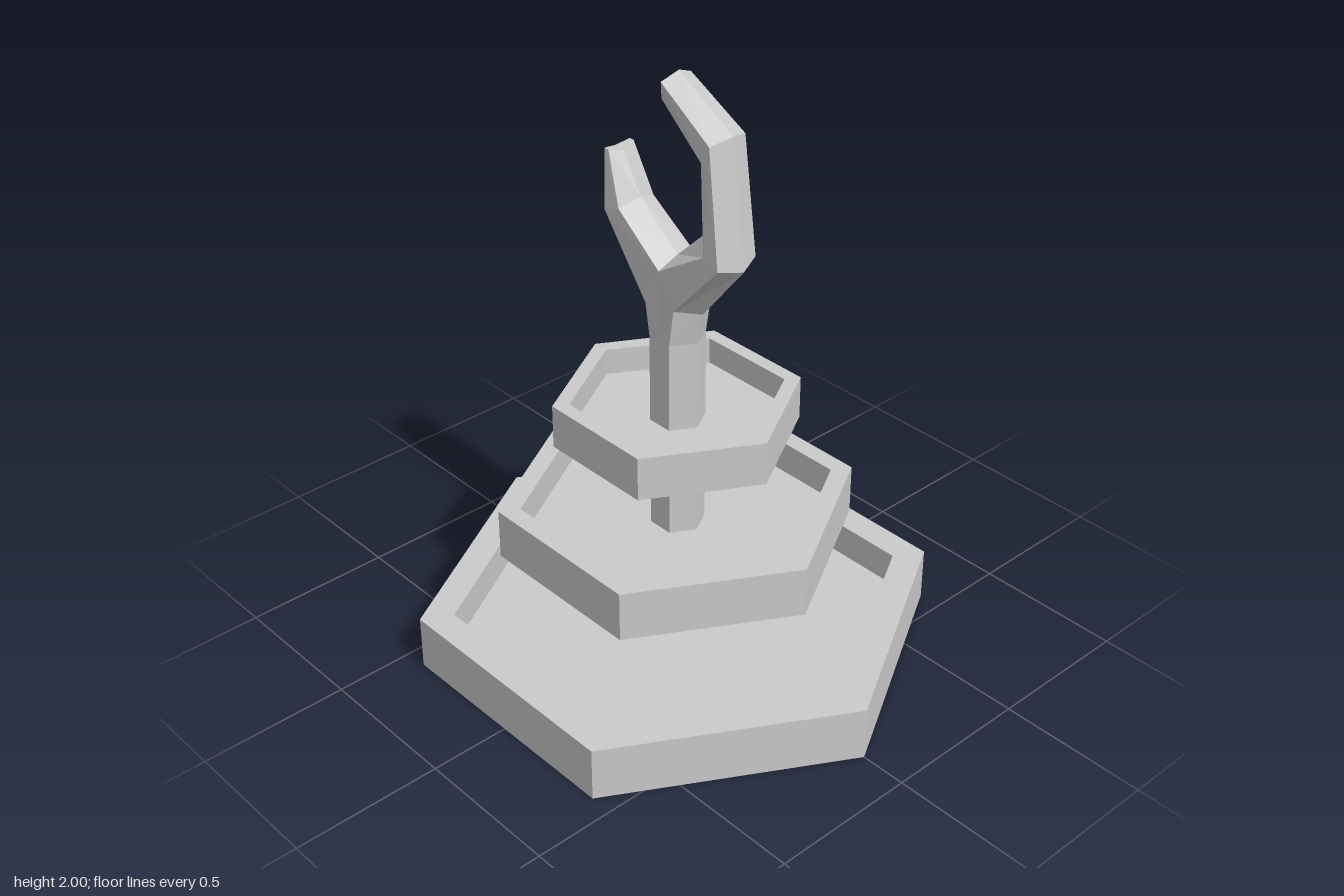
import * as THREE from 'three';

const material = new THREE.MeshStandardMaterial({ color: 0xcccccc, flatShading: true });

function addPart(group, name, geometry) {
  const mesh = new THREE.Mesh(geometry, material);
  mesh.name = name;
  group.add(mesh);
  return mesh;
}

// Hexagonal tray with a raised rim, corners on the x axis
function trayGeometry({ outer, inner, bottom, top, floor, dip = 0 }) {
  const profile = [
    [0, bottom - dip], [outer, bottom], [outer, top],
    [inner, top], [inner, floor], [0, floor],
  ].map(([r, y]) => new THREE.Vector2(r, y));
  return new THREE.LatheGeometry(profile, 6, Math.PI / 6);
}

// Six-sided arm lofted through sections: outer ridge, outer front edge,
// inner front edge, inner ridge (all x, y) and half depth; the back mirrors the front
function armGeometry(sections, side) {
  const rings = sections.map(([o, fo, fi, n, z]) => [
    [o, 0], [fo, z], [fi, z], [n, 0], [fi, -z], [fo, -z],
  ].map(([p, d]) => [p[0] * side, p[1], d]));
  const out = [];
  const tri = (a, b, c) => out.push(...a, ...(side > 0 ? [...b, ...c] : [...c, ...b]));
  for (let s = 0; s < rings.length - 1; s++) {
    for (let i = 0; i < 6; i++) {
      if (s === 0 && (i === 2 || i === 3)) continue; // the two arms join here
      const j = (i + 1) % 6, a = rings[s], b = rings[s + 1];
      tri(a[i], b[i], a[j]);
      tri(a[j], b[i], b[j]);
    }
  }
  const end = rings[rings.length - 1];
  for (let i = 1; i < 5; i++) tri(end[0], end[i + 1], end[i]);
  const geometry = new THREE.BufferGeometry();
  geometry.setAttribute('position', new THREE.Float32BufferAttribute(out, 3));
  geometry.computeVertexNormals();
  return geometry;
}

export function createModel() {
  const group = new THREE.Group();
  group.name = 'tieredTrayStand';

  // Trays
  addPart(group, 'bottomTray', trayGeometry({ outer: 0.845, inner: 0.735, bottom: 0, top: 0.185, floor: 0.07 }));
  addPart(group, 'middleTray', trayGeometry({ outer: 0.575, inner: 0.505, bottom: 0.395, top: 0.565, floor: 0.455 }));
  addPart(group, 'topTray', trayGeometry({ outer: 0.393, inner: 0.34, bottom: 0.783, top: 0.93, floor: 0.84, dip: 0.018 }));

  // Stem
  const stem = new THREE.CylinderGeometry(0.088, 0.088, 1.08, 6, 1, true, Math.PI / 6);
  addPart(group, 'stem', stem.translate(0, 0.6, 0));

  // Forked hook: both arms grow from the stem and share the crotch
  const root = [[0.088, 1.14], [0.044, 1.14], [0, 1.14], [0, 1.14], 0.076];
  addPart(group, 'longHookArm', armGeometry([
    root,
    [[0.11, 1.25], [0.065, 1.27], [0, 1.38], [0, 1.41], 0.077],
    [[0.28, 1.46], [0.25, 1.475], [0.19, 1.5], [0.135, 1.54], 0.076],
    [[0.23, 1.87], [0.205, 1.85], [0.172, 1.79], [0.12, 1.785], 0.07],
    [[0.005, 2], [-0.008, 1.975], [-0.005, 1.925], [0, 1.91], 0.058],
  ], 1));
  addPart(group, 'shortHookArm', armGeometry([
    root,
    [[0.1, 1.22], [0.06, 1.25], [0, 1.38], [0, 1.41], 0.077],
    [[0.275, 1.48], [0.25, 1.49], [0.185, 1.515], [0.165, 1.54], 0.07],
    [[0.277, 1.67], [0.268, 1.68], [0.25, 1.68], [0.235, 1.665], 0.05],
  ], -1));

  return group;
}
